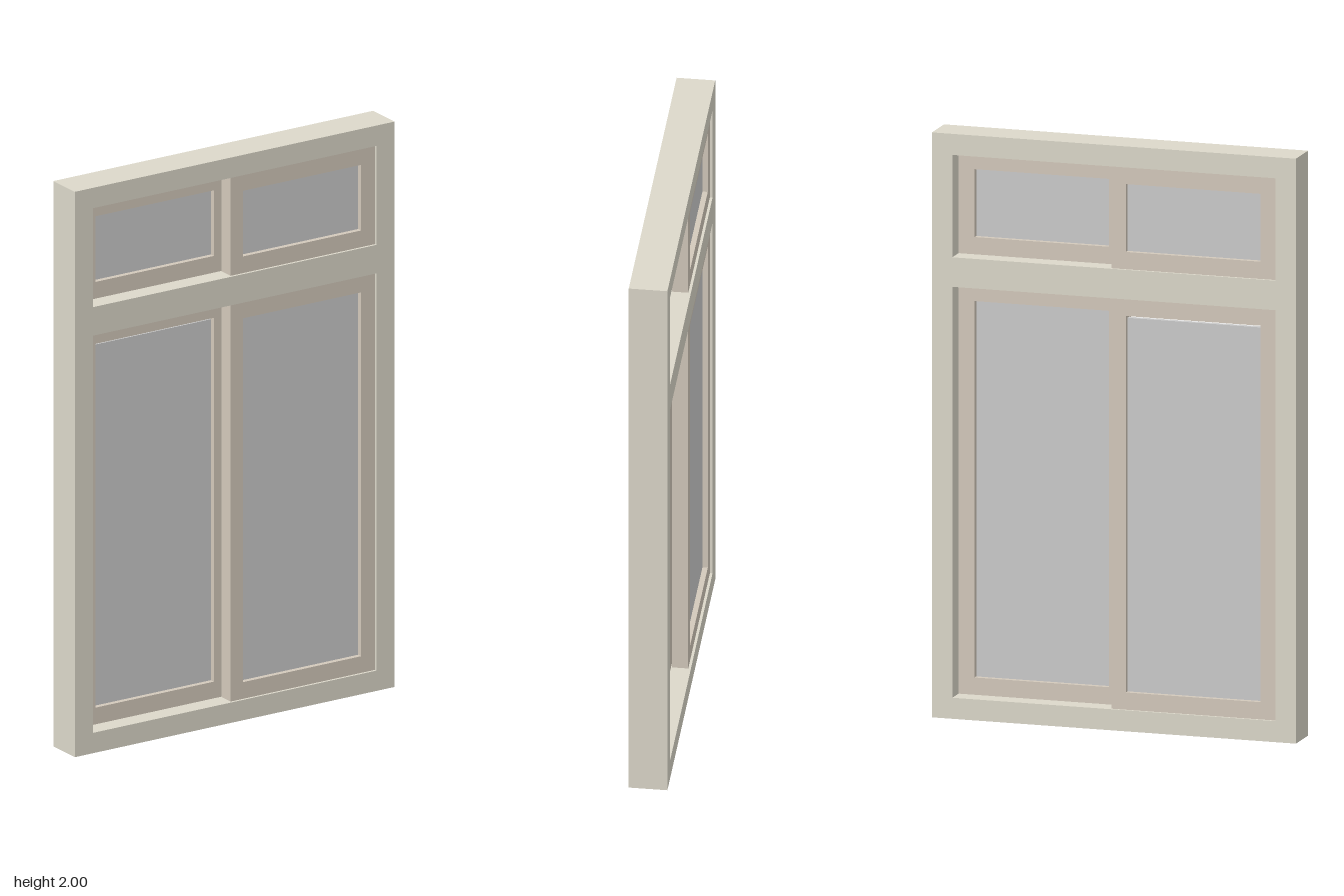
import * as THREE from 'three';

const frameMat = new THREE.MeshStandardMaterial({ color: 0xdcd8ca });
const sashMat = new THREE.MeshStandardMaterial({ color: 0xd3c9bb });
const glassMat = new THREE.MeshStandardMaterial({ color: 0xcccccc });

const HALF_DEPTH = 0.065;

// Adds a closed rectangle [x0, y0, x1, y1] to a shape or path
function rect(path, [x0, y0, x1, y1]) {
  path.moveTo(x0, y0);
  path.lineTo(x1, y0);
  path.lineTo(x1, y1);
  path.lineTo(x0, y1);
  path.closePath();
  return path;
}

// Flat panel with rectangular holes, extruded from z0 to z1
function panel(name, outer, holes, z0, z1, material) {
  const shape = rect(new THREE.Shape(), outer);
  for (const h of holes) shape.holes.push(rect(new THREE.Path(), h));
  const geo = new THREE.ExtrudeGeometry(shape, { depth: z1 - z0, bevelEnabled: false });
  geo.translate(0, 0, z0);
  const mesh = new THREE.Mesh(geo, material);
  mesh.name = name;
  return mesh;
}

// Sliding sash with its pane; the rear sash is the front one turned half round
function sash(name, y0, y1, glassGap, rear) {
  const rail = 0.059;
  const opening = [0.039, y0 + rail, 0.512, y1 - rail];
  const group = new THREE.Group();
  group.name = name;
  group.add(
    panel('sashFrame', [-0.011, y0, 0.568, y1], [opening], 0.002, 0.056, sashMat),
    panel('glass', [opening[0], opening[1], opening[2], opening[3] - glassGap], [], 0.02, 0.038, glassMat)
  );
  if (rear) group.rotation.y = Math.PI;
  return group;
}

export function createModel() {
  const model = new THREE.Group();
  model.name = 'slidingWindow';

  const rows = [
    { name: 'lower', y0: 0.072, y1: 1.477, gap: 0.01 },
    { name: 'upper', y0: 1.578, y1: 1.928, gap: 0 },
  ];

  // Outer frame with transom between the two rows
  model.add(panel('outerFrame', [-0.64, 0, 0.64, 2],
    rows.map((r) => [-0.568, r.y0, 0.568, r.y1]), -HALF_DEPTH, HALF_DEPTH, frameMat));

  // Front sash on the left, rear sash on the right, in each row
  for (const r of rows) {
    model.add(sash(r.name + 'FrontSash', r.y0, r.y1, 0, false));
    model.add(sash(r.name + 'RearSash', r.y0, r.y1, r.gap, true));
  }
  return model;
}
